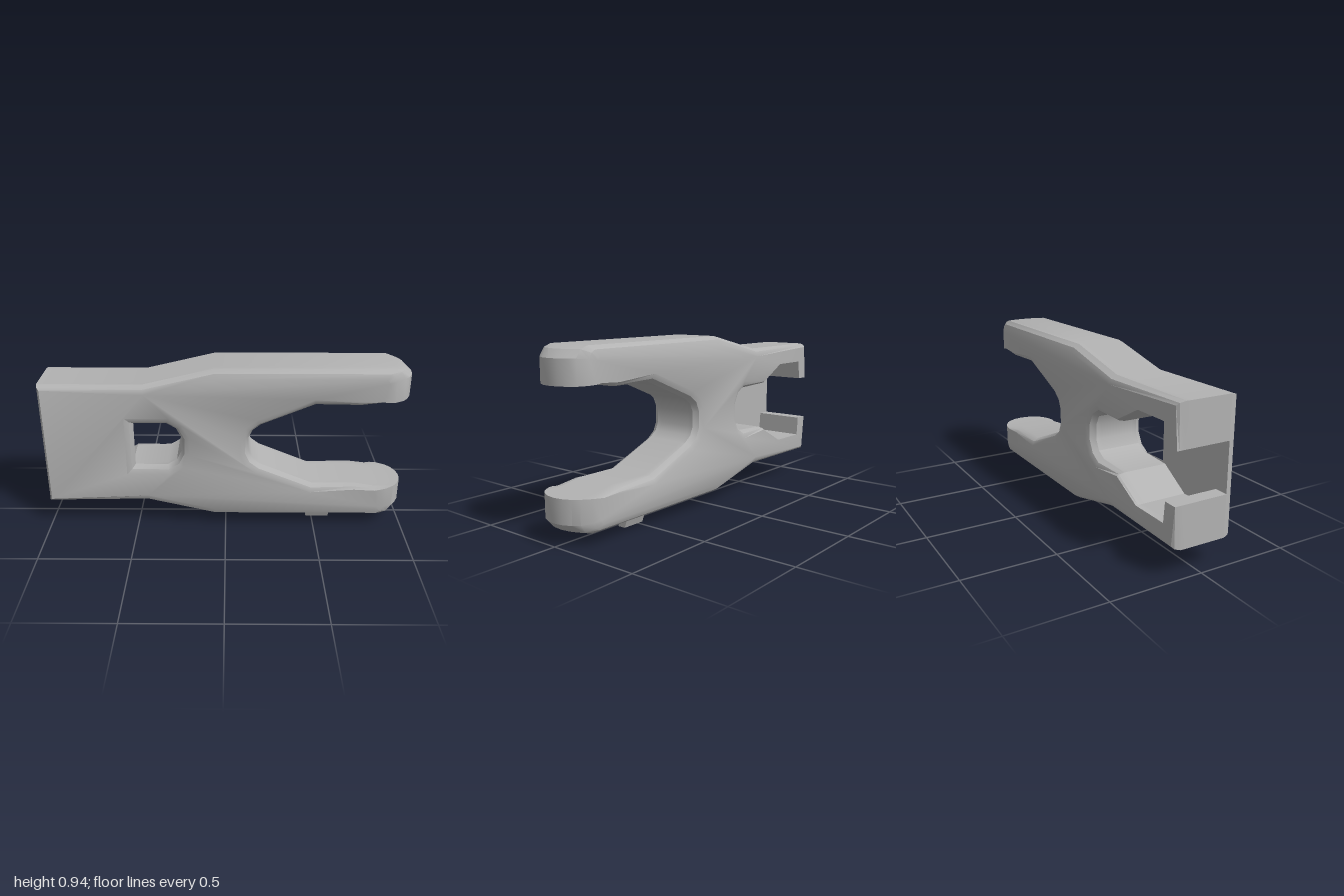
import * as THREE from 'three';
import { toCreasedNormals } from 'three/addons/utils/BufferGeometryUtils.js';

const HALF_DEPTH = 0.167;
const PLATE_Z = 0.125;

// Profiles run counter-clockwise with the material on their left.
// Each point is x, y and how strongly the edge bevel acts there.
const outerHalf = [
  [0.125, 0.54, 1], [0.145, 0.585, 1], [0.19, 0.62, 1], [0.48, 0.74, 0.9], [0.72, 0.74, 0.5],
  [0.84, 0.76, 0.2], [1, 0.76, 0.1], [1, 0.885, 0.7], [0.96, 0.925, 1], [0.9, 0.94, 1],
  [-0.06, 0.94, 1], [-0.44, 0.85, 1], [-1, 0.85, 0.45],
];
const holeArc = [[-0.32, 0.625, 1], [-0.27, 0.595, 1], [-0.242, 0.54, 1]];
const slotHalf = [
  [-1, 0.63, 0], [-0.925, 0.63, 0], [-0.915, 0.74, 0], [-0.69, 0.74, 0], [-0.52, 0.635, 0.3],
];

// Complete a profile by mirroring its upper half about y = 0.5
const mirrored = (half) => [...half, ...half.map(([x, y, w]) => [x, 1 - y, w]).reverse()];

// Outline of one layer: bevelled inward, with the arm tips rounded in plan
function outlineAt(profile, z, inset) {
  const n = profile.length;
  const roundness = Math.sqrt(1 - (z / 0.17) ** 2);
  const inward = (a, b) => {
    const d = new THREE.Vector2(b[0] - a[0], b[1] - a[1]).normalize();
    return new THREE.Vector2(-d.y, d.x);
  };
  return profile.map((p, i) => {
    const n1 = inward(profile[(i + n - 1) % n], p);
    const n2 = inward(p, profile[(i + 1) % n]);
    const miter = n1.clone().add(n2).divideScalar(Math.max(0.5, 1 + n1.dot(n2)));
    const v = new THREE.Vector2(p[0], p[1]).addScaledVector(miter, inset * p[2]);
    if (v.x > 0.83) v.x = 0.83 + (v.x - 0.83) * roundness;
    return v;
  });
}

// Solid lofted through layers [z, inset], listed from front to back
function loft(profiles, layers) {
  const pos = [];
  const put = (v, z) => pos.push(v.x, v.y, z);
  const rings = layers.map(([z, inset]) => profiles.map((p) => outlineAt(p, z, inset)));

  // walls
  for (let j = 0; j < layers.length - 1; j++) {
    const zf = layers[j][0], zb = layers[j + 1][0];
    profiles.forEach((profile, k) => {
      const front = rings[j][k], back = rings[j + 1][k];
      for (let i = 0; i < profile.length; i++) {
        const m = (i + 1) % profile.length;
        put(front[i], zf); put(back[i], zb); put(front[m], zf);
        put(front[m], zf); put(back[i], zb); put(back[m], zb);
      }
    });
  }

  // front and back faces
  for (const [j, facing] of [[0, 1], [layers.length - 1, -1]]) {
    const [contour, ...holes] = rings[j];
    const points = rings[j].flat();
    for (const face of THREE.ShapeUtils.triangulateShape(contour, holes)) {
      const t = face.map((i) => points[i]);
      if (THREE.ShapeUtils.area(t) * facing < 0) t.reverse();
      t.forEach((v) => put(v, layers[j][0]));
    }
  }

  const geo = new THREE.BufferGeometry();
  geo.setAttribute('position', new THREE.Float32BufferAttribute(pos, 3));
  return toCreasedNormals(geo, 0.5);
}

export function createModel() {
  const group = new THREE.Group();
  const grey = new THREE.MeshStandardMaterial({ color: 0xb2b2b2 });
  grey.name = 'plain grey';
  const add = (name, geometry) => {
    const mesh = new THREE.Mesh(geometry, grey);
    mesh.name = name;
    group.add(mesh);
    return mesh;
  };

  // Front plate, pierced by the D-shaped window
  const windowLoop = mirrored([[-0.5, 0.625, 1], ...holeArc].reverse()).reverse();
  add('frontPlate', loft(
    [mirrored(outerHalf), windowLoop],
    [[HALF_DEPTH, 0.045], [0.155, 0.018], [PLATE_Z, 0]],
  ));

  // Forked body, with the rear slot open towards its end
  add('forkBody', loft(
    [mirrored([...outerHalf, ...slotHalf, ...holeArc])],
    [[PLATE_Z, 0], [0.095, 0], [0.05, 0], [0, 0], [-0.05, 0], [-0.095, 0],
      [-PLATE_Z, 0], [-0.155, 0.018], [-HALF_DEPTH, 0.045]],
  ));

  // Two small pegs under the lower arm, leaning towards each other
  for (const side of [1, -1]) {
    const geo = new THREE.BoxGeometry(0.13, 0.08, 0.045);
    const p = geo.attributes.position;
    for (let i = 0; i < p.count; i++) {
      if (p.getY(i) < 0) p.setZ(i, p.getZ(i) - side * 0.03);
    }
    geo.computeVertexNormals();
    add(side > 0 ? 'frontPeg' : 'backPeg', geo).position.set(0.533, 0.04, side * 0.072);
  }
  return group;
}
